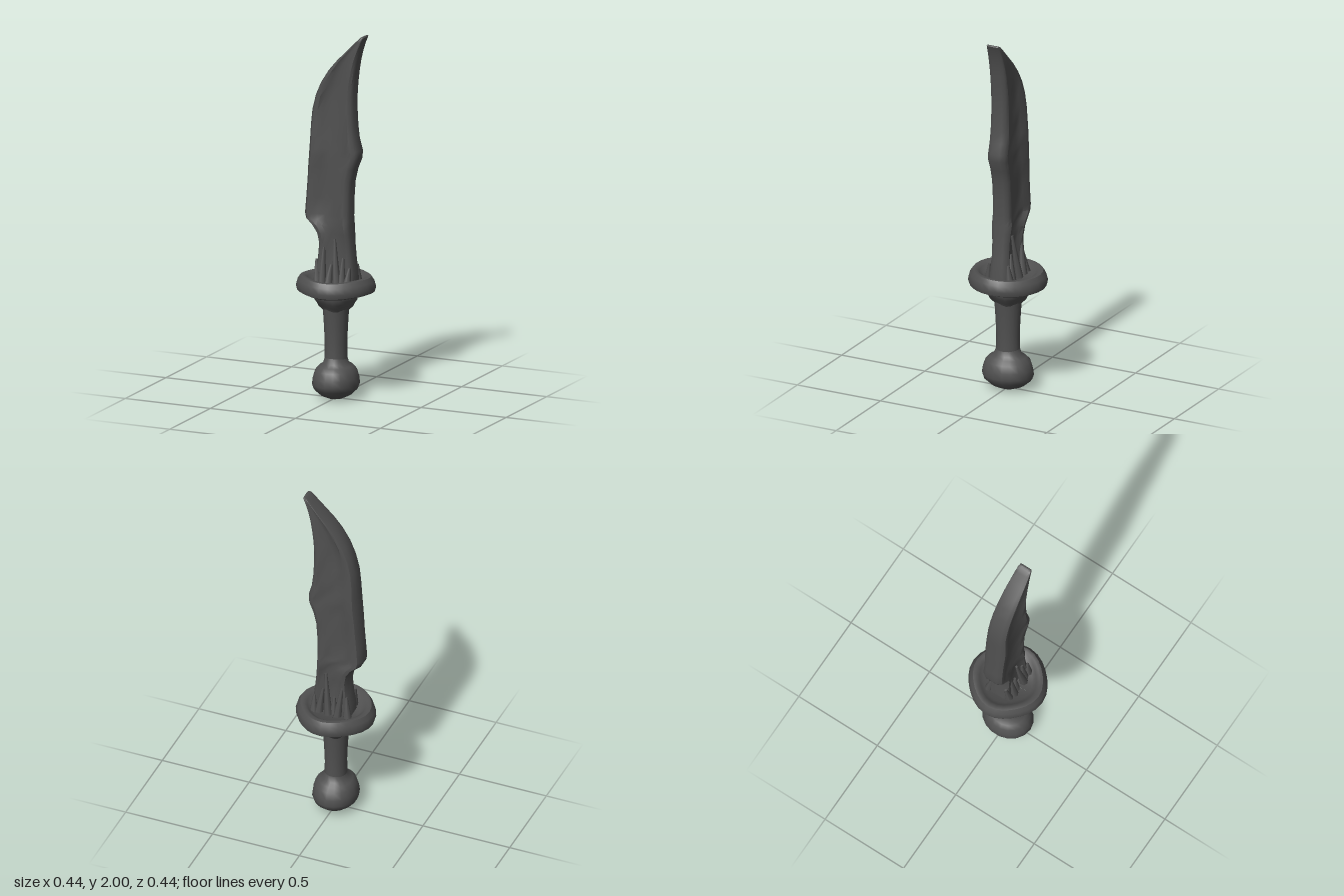
import * as THREE from 'three';
import { toCreasedNormals } from 'three/addons/utils/BufferGeometryUtils.js';

// Blade stations: height, edge x, spine x, half thickness
const STATIONS = [
  [0.62, -0.105, 0.122, 0.072], [0.7, -0.1, 0.118, 0.066], [0.77, -0.09, 0.11, 0.06], [0.85, -0.083, 0.102, 0.06],
  [0.91, -0.095, 0.098, 0.066], [0.95, -0.122, 0.096, 0.07], [0.98, -0.158, 0.095, 0.066], [1.01, -0.165, 0.095, 0.064],
  [1.1, -0.158, 0.097, 0.062], [1.2, -0.15, 0.104, 0.063], [1.27, -0.146, 0.12, 0.065], [1.33, -0.141, 0.144, 0.067],
  [1.37, -0.138, 0.145, 0.067], [1.43, -0.134, 0.128, 0.066], [1.5, -0.13, 0.12, 0.063], [1.58, -0.122, 0.116, 0.061],
  [1.66, -0.102, 0.115, 0.06], [1.73, -0.072, 0.119, 0.059], [1.8, -0.028, 0.126, 0.057], [1.86, 0.022, 0.135, 0.054],
  [1.92, 0.082, 0.149, 0.049], [1.97, 0.131, 0.166, 0.044], [1.995, 0.156, 0.177, 0.04], [2.0, 0.166, 0.174, 0.034],
];
// Half section from edge to spine: fraction of width, fraction of thickness
const SECTION = [[0, 0.55], [0.07, 0.92], [0.17, 0.95], [0.28, 0.68], [0.45, 0.6], [0.64, 0.62], [0.78, 0.72], [0.88, 0.86], [0.96, 0.72], [1, 0.4]];

function bladeGeometry() {
  const positions = [], index = [];
  const n = SECTION.length * 2;
  STATIONS.forEach(([y, x0, x1, t], k) => {
    // hollow of the face fades out toward the tip
    const fade = THREE.MathUtils.clamp((1.95 - y) / 0.25, 0, 1);
    const ring = (side) => SECTION.map(([u, w], i) => {
      const inner = i > 2 && i < 7;
      const depth = inner ? THREE.MathUtils.lerp(0.9, w + 0.05 * Math.sin(k * 2.3 + i * 1.7 + side), fade) : w;
      return [x0 + (x1 - x0) * u, y, side * t * depth];
    });
    [...ring(1), ...ring(-1).reverse()].forEach((p) => positions.push(...p));
  });
  for (let k = 0; k < STATIONS.length - 1; k++) {
    for (let i = 0; i < n; i++) {
      const a = k * n + i, b = k * n + (i + 1) % n;
      index.push(a, b, b + n, a, b + n, a + n);
    }
  }
  // end caps, bridged between the two faces
  const top = (STATIONS.length - 1) * n;
  for (let i = 0; i < SECTION.length - 1; i++) {
    const j = n - 1 - i;
    index.push(top + i, top + i + 1, top + j - 1, top + i, top + j - 1, top + j);
    index.push(i, j - 1, i + 1, i, j, j - 1);
  }
  const g = new THREE.BufferGeometry();
  g.setAttribute('position', new THREE.Float32BufferAttribute(positions, 3));
  g.setIndex(index);
  return toCreasedNormals(g, 0.75);
}

// Turned part whose vertices are then moved by a rule
function turned(profile, segments, rule) {
  const g = new THREE.LatheGeometry(profile.map(([r, y]) => new THREE.Vector2(r, y)), segments);
  const p = g.attributes.position;
  const v = new THREE.Vector3();
  for (let i = 0; i < p.count; i++) {
    v.fromBufferAttribute(p, i);
    rule(v, Math.atan2(v.z, v.x));
    p.setXYZ(i, v.x, v.y, v.z);
  }
  return toCreasedNormals(g, 0.8);
}

export function createModel() {
  const group = new THREE.Group();
  const iron = new THREE.MeshStandardMaterial({ color: 0x505050 });
  iron.name = 'darkIron';
  const add = (name, geometry) => {
    const mesh = new THREE.Mesh(geometry, iron);
    mesh.name = name;
    group.add(mesh);
    return mesh;
  };

  add('blade', bladeGeometry());

  // Guard: dished disc with a heavy rounded rim
  add('guard', turned(
    [[0, 0.6], [0.11, 0.592], [0.19, 0.584], [0.212, 0.594], [0.219, 0.618], [0.21, 0.65], [0.194, 0.674], [0.175, 0.676], [0.157, 0.664], [0.135, 0.646], [0, 0.645]],
    28, (v, a) => {
      const s = 1 - 0.05 * Math.sin(2 * a) ** 2;
      v.x *= s;
      v.z *= s;
      v.y += 0.004 * Math.sin(3 * a + 1);
    }));

  // Collar under the guard, slightly wider front to back
  add('collar', turned(
    [[0.06, 0.46], [0.068, 0.49], [0.092, 0.515], [0.102, 0.535], [0.113, 0.55], [0.118, 0.575], [0.115, 0.6]],
    20, (v, a) => {
      v.z *= 1.06;
      v.y += v.y < 0.56 ? 0.006 * Math.sin(4 * a) : 0;
    }));

  add('grip', turned(
    [[0.063, 0.16], [0.06, 0.22], [0.059, 0.3], [0.062, 0.38], [0.066, 0.45], [0.07, 0.5]],
    18, (v) => { v.z *= 1.08; }));

  // Pommel: squat knob with a blunt underside
  add('pommel', turned(
    [[0, 0.004], [0.04, 0.006], [0.082, 0.026], [0.115, 0.058], [0.124, 0.085], [0.12, 0.12], [0.109, 0.16], [0.09, 0.182], [0.068, 0.197], [0.058, 0.23]],
    18, (v) => { v.z *= 1.15 - 0.3 * Math.max(0, v.y - 0.1); }));

  // Rough tapering ridges climbing the root of the blade on both faces
  const heights = [0.13, 0.2, 0.11, 0.25, 0.15, 0.1];
  for (const side of [1, -1]) {
    heights.forEach((h, i) => {
      const ridge = add('rootRidge', new THREE.CylinderGeometry(0.007, 0.024, h, 7));
      ridge.position.set(-0.085 + i * 0.037, 0.635 + h / 2, side * (0.054 + 0.006 * (i % 2)));
      ridge.rotation.set(-side * 0.12, 0, 0.12 * Math.sin(i * 2.1 + side));
    });
  }
  return group;
}
